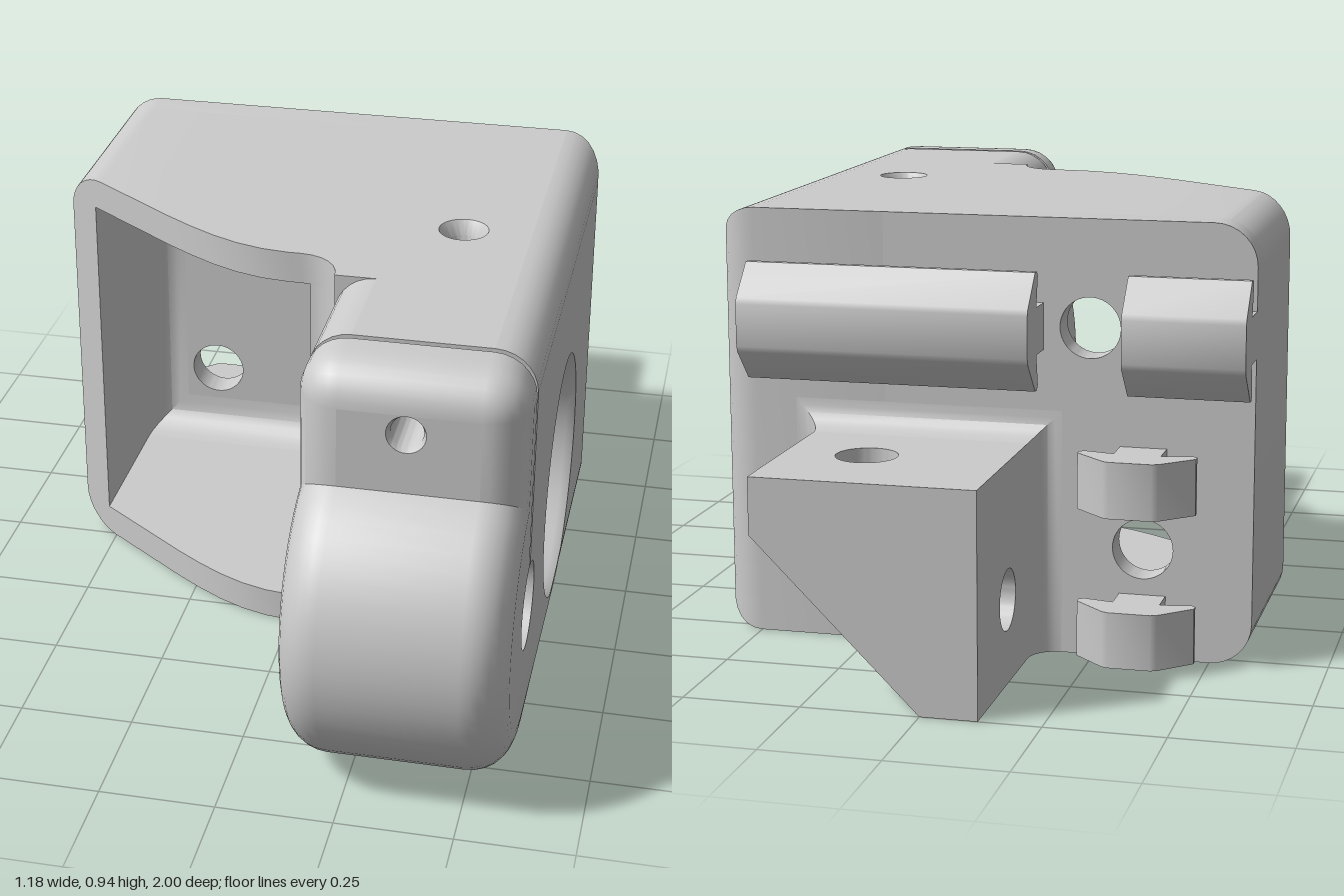
import * as THREE from 'three';
import { toCreasedNormals } from 'three/addons/utils/BufferGeometryUtils.js';

const grey = new THREE.MeshStandardMaterial({ color: 0xcccccc });
const thin = new THREE.MeshStandardMaterial({ color: 0xcccccc, side: THREE.DoubleSide });
const V = (p) => new THREE.Vector2(p[0], p[1]);
const steps = (n, f) => Array.from({ length: n + 1 }, (_, i) => f(i / n));
const arc = (cx, cy, r, a0, a1, n) =>
  steps(n, (t) => [cx + r * Math.cos(a0 + (a1 - a0) * t), cy + r * Math.sin(a0 + (a1 - a0) * t)]);
const rect = (x0, y0, x1, y1) => [[x0, y0], [x1, y0], [x1, y1], [x0, y1]];

// Outline with round holes [x, y, r]
function shapeOf(points, holes = []) {
  const s = new THREE.Shape(points.map(V));
  for (const [x, y, r] of holes) s.holes.push(new THREE.Path().absarc(x, y, r, 0, Math.PI * 2, true));
  return s;
}
const panel = (points, holes, depth) =>
  new THREE.ExtrudeGeometry(shapeOf(points, holes), { depth, bevelEnabled: false, curveSegments: 24 });

// Skin through counter-clockwise rings { w, pts }; skip(ring, edge) leaves a face out
function loft(rings, { start = true, end = true, endHoles = [], skip = () => false } = {}) {
  const pos = [];
  const put = (ring, p) => pos.push(p[0], p[1], ring.w);
  for (let j = 0; j + 1 < rings.length; j++) {
    const A = rings[j], B = rings[j + 1], n = A.pts.length;
    for (let i = 0; i < n; i++) {
      if (skip(j, i)) continue;
      const k = (i + 1) % n;
      put(A, A.pts[i]); put(A, A.pts[k]); put(B, B.pts[k]);
      put(A, A.pts[i]); put(B, B.pts[k]); put(B, B.pts[i]);
    }
  }
  const cap = (ring, holes, flip) => {
    const g = new THREE.ShapeGeometry(shapeOf(ring.pts, holes), 24).toNonIndexed();
    const p = g.attributes.position;
    for (let i = 0; i < p.count; i += 3)
      for (const k of flip ? [0, 2, 1] : [0, 1, 2]) put(ring, [p.getX(i + k), p.getY(i + k)]);
  };
  if (start) cap(rings[0], [], true);
  if (end) cap(rings[rings.length - 1], endHoles, false);
  const g = new THREE.BufferGeometry();
  g.setAttribute('position', new THREE.Float32BufferAttribute(pos, 3));
  return g;
}

// Side profile of the arm (u = -z, v = y), inset by d; slit and clamp bore stay unchanged
function armProfile(d) {
  const c = -0.6475, cy = 0.3525, R = 0.3525 - d, gap = 0.079, H = Math.PI / 2;
  const top = 0.94 - d, lean = Math.asin((0.1425 - d) / R);
  return [
    [0.53 - d, d], [0.53 - d, top], [-0.64, top],
    ...arc(c, cy, 0.095, H - gap, gap - 3 * H, 24),
    [-0.655, top],
    ...arc(-0.70, 0.85, 0.09 - d, H, 2 * H, 8),
    ...arc(c, cy, R, H + lean, 3 * H, 24),
  ];
}

// Front contour of the housing in plan, [x, z]
const contour = [
  [-0.59, -0.06], [-0.3, 0.155], [-0.24, 0.196], [-0.18, 0.232], [-0.12, 0.26], [-0.06, 0.278], [0, 0.285],
  ...steps(6, (t) => [0.03 + 0.09 * Math.sin(t * Math.PI / 2), 0.375 - 0.09 * Math.cos(t * Math.PI / 2)]),
  [0.25, 0.375],
];
function frontZ(x) {
  const i = Math.max(1, contour.findIndex((p) => p[0] >= x - 1e-6));
  const [a, b] = [contour[i - 1], contour[i]];
  return a[1] + (b[1] - a[1]) * (x - a[0]) / (b[0] - a[0]);
}
const low = (x) => (x < -0.5 ? 0.09 - Math.sqrt(Math.max(0, 0.0081 - (x + 0.5) ** 2)) : 0);
const high = (x) => 0.94 - low(x);

// Housing wall swept along x from the back wall to the contour
function wall(x0, x1, lo, hi) {
  const round = steps(8, (t) => -0.5 - 0.09 * Math.cos(t * Math.PI / 2));
  const xs = [x0, ...[...round, ...contour.map((p) => p[0])].filter((x) => x > x0 + 1e-4 && x < x1 - 1e-4), x1];
  xs.sort((a, b) => a - b);
  return loft(xs.map((x) => ({ w: x, pts: rect(-frontZ(x), lo(x), 0.46, hi(x)) }))).rotateY(Math.PI / 2);
}

export function createModel() {
  const model = new THREE.Group();
  const add = (name, geometry, material = grey) => {
    const mesh = new THREE.Mesh(toCreasedNormals(geometry, 0.6), material);
    mesh.name = name;
    model.add(mesh);
    return mesh;
  };
  const Q = Math.PI / 2;

  // Clamp arm with rounded edges, slit and bores
  const r = 0.0895, K = 7, rings = [];
  steps(K, (t) => rings.push({ w: 0.12 + r * (1 - Math.cos(t * Q)), pts: armProfile(r * (1 - Math.sin(t * Q))) }));
  for (let i = K; i >= 0; i--) rings.push({ w: 0.71 - rings[i].w, pts: rings[i].pts });
  const armGeo = loft(rings, {
    endHoles: [[-0.1, 0.355, 0.28]],
    skip: (j, i) => j === K && (i === 1 || i === 37),
  });
  add('clampArm', armGeo.rotateY(Q));
  const x0 = 0.12 + r, x1 = 0.59 - r;
  const topFace = new THREE.ShapeGeometry(shapeOf(rect(x0, -0.64, x1, 0.53), [[0.35, -0.09, 0.055]]), 24);
  add('armTopFace', topFace.rotateX(-Q).translate(0, 0.94, 0));
  const yJoin = armProfile(0)[38][1];
  const frontFace = new THREE.ShapeGeometry(shapeOf(rect(x0, yJoin, x1, 0.85), [[0.35, 0.808, 0.041]]), 24);
  add('clampFrontFace', frontFace.translate(0, 0, 0.79));

  // Bore linings
  const lining = (pts) => new THREE.LatheGeometry(pts.map(V), 48);
  add('bearingBore', lining([[0.28, 0.59], [0.268, 0.57], [0.268, 0.13], [0, 0.13]])
    .rotateZ(-Q).translate(0, 0.355, 0.1), thin);
  add('topScrewHole', lining([[0.055, 0.94], [0.036, 0.91], [0.036, 0.62]]).translate(0.35, 0, 0.09), thin);
  add('clampScrewHole', lining([[0.041, 0.79], [0.034, 0.775], [0.034, 0.656]])
    .rotateX(Q).translate(0.35, 0.808, 0), thin);

  // Open housing beside the arm
  add('housingLeftWall', wall(-0.59, -0.52, low, high));
  add('housingTopWall', wall(-0.52, 0.25, () => 0.87, high));
  add('housingBottomWall', wall(-0.52, 0.25, low, () => 0.07));
  add('housingInnerWall', wall(0.05, 0.25, low, high));
  const backOutline = [
    [0.25, 0], [0.25, 0.94],
    ...arc(-0.5, 0.85, 0.09, Q, 2 * Q, 8), ...arc(-0.5, 0.09, 0.09, 2 * Q, 3 * Q, 8),
  ];
  add('housingBackWall', panel(backOutline, [[-0.24, 0.71, 0.065], [-0.355, 0.24, 0.065]], 0.07).translate(0, 0, -0.53));
  const cove = steps(6, (t) => {
    const d = 0.085 * (1 - Math.sin(t * Q));
    return { w: -0.459 + 0.085 * (1 - Math.cos(t * Q)), pts: rect(-0.52 + d, 0.07 + d, 0.05 - d, 0.87 - d) };
  });
  add('pocketCove', loft(cove, { start: false, end: false }), thin);

  // Corner bracket on the back
  add('bracketSidePlate', panel(rect(0.53, 0, 1, 0.47), [[0.76, 0.18, 0.065]], 0.12).rotateY(Q).translate(-0.12, 0, 0));
  add('bracketTopPlate', panel(rect(0, 0.53, 0.35, 1), [[0.175, 0.77, 0.065]], 0.12).rotateX(-Q).translate(0, 0.35, 0));
  add('bracketEndWeb', panel([[0, 0], [0.35, 0.35], [0, 0.35]], [], 0.05).translate(0, 0, -1));
  const flare = steps(6, (t) => {
    const d = 0.06 * (1 - Math.cos(t * Q));
    return {
      w: -0.59 + 0.06 * Math.sin(t * Q),
      pts: [[-0.12 - d, 0], [1.41 * d, 0], [0.35 + d, 0.35 - 0.41 * d], [0.35 + d, 0.47 + d], [-0.12 - d, 0.47 + d]],
    };
  });
  add('bracketRootFillet', loft(flare));

  // T-section rails: [offset, depth], mirrored
  const half = [[0.05, -0.01], [0.05, 0.065], [0.115, 0.052], [0.125, 0.06], [0.125, 0.075], [0.058, 0.138], [0.045, 0.143]];
  const tee = [...half, ...half.map(([o, d]) => [-o, d]).reverse()];
  const across = tee.map(([o, d]) => [0.53 + d, 0.71 + o]);
  const upright = tee.map(([o, d]) => [-0.355 + o, 0.53 + d]);
  for (const [name, a, b] of [['longRail', -0.14, 0.49], ['shortRail', -0.59, -0.335]])
    add(name, panel(across, [], b - a).rotateY(Q).translate(a, 0, 0));
  for (const [name, y] of [['lowerHook', 0.02], ['upperHook', 0.34]])
    add(name, panel(upright, [], 0.12).rotateX(-Q).translate(0, y, 0));

  return model;
}
